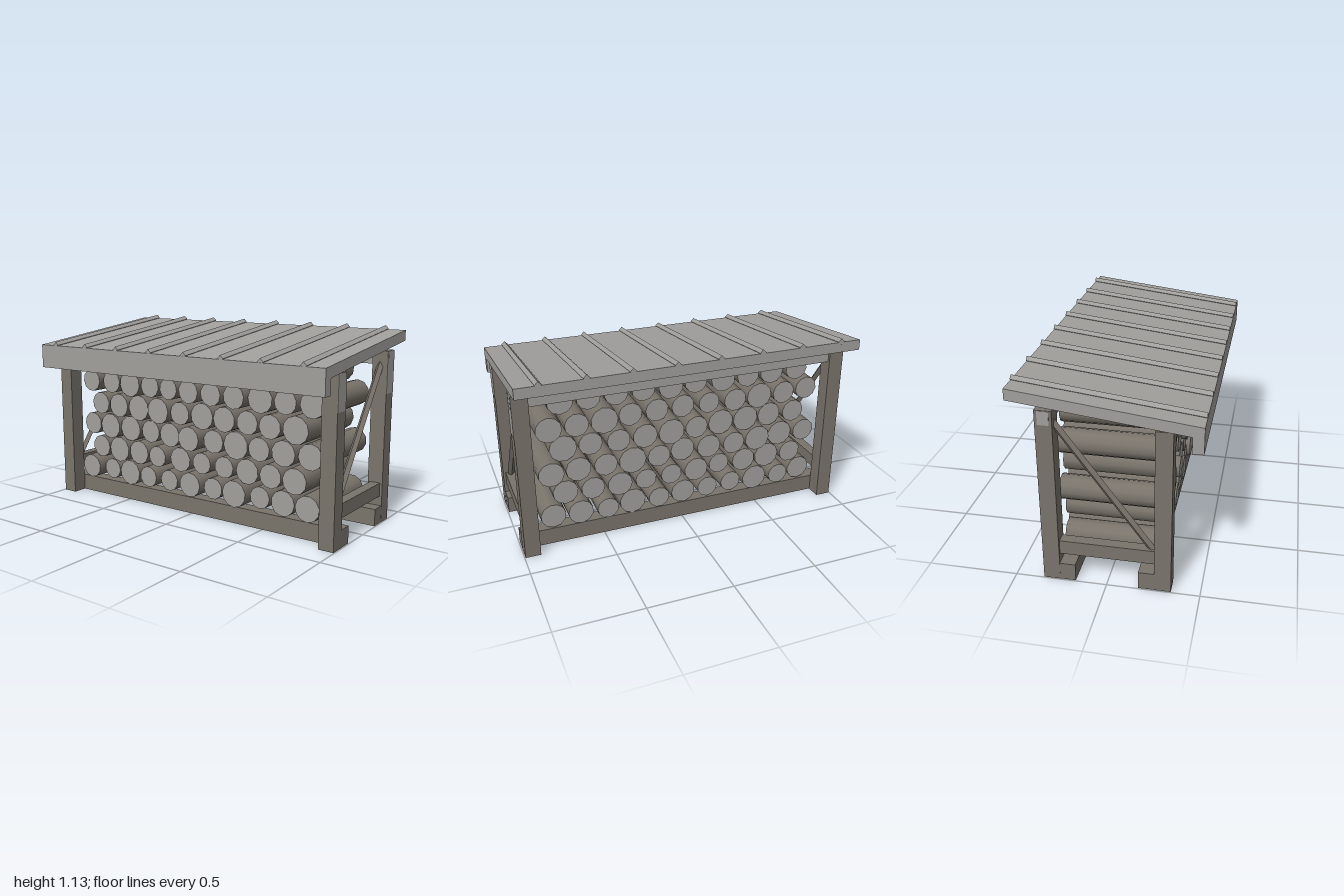
import * as THREE from 'three';

const flat = (name, color) => {
  const m = new THREE.MeshStandardMaterial({ color });
  m.name = name;
  return m;
};

export function createModel() {
  const root = new THREE.Group();
  root.name = 'firewoodShelter';
  const brown = flat('weatheredWood', 0x7a746b);
  const grey = flat('paleGrey', 0xa1a09d);

  const add = (name, geometry, material, parent = root) => {
    const mesh = new THREE.Mesh(geometry, material);
    mesh.name = name;
    parent.add(mesh);
    return mesh;
  };
  // Box given by its minimum and maximum on each axis
  const box = (name, x0, x1, y0, y1, z0, z1, material) =>
    add(name, new THREE.BoxGeometry(x1 - x0, y1 - y0, z1 - z0), material)
      .position.set((x0 + x1) / 2, (y0 + y1) / 2, (z0 + z1) / 2);

  // Corner posts; the upper part of the outer left faces is paler
  for (const s of [-1, 1]) {
    const x0 = s < 0 ? -0.995 : 0.905;
    box('frontPost', x0, x0 + 0.09, 0, 0.94, 0.255, 0.345, brown);
    box('backPost', x0, x0 + 0.09, 0, 1.0, -0.345, -0.255, brown);
  }
  box('frontPostPaleFace', 0.994, 0.997, 0.74, 0.94, 0.255, 0.345, grey);
  box('backPostPaleFace', 0.994, 0.997, 0.757, 1.0, -0.345, -0.255, grey);

  // Floor beams and the top beam at the back
  box('frontFloorBeam', -0.994, 0.994, 0, 0.1, 0.17, 0.255, brown);
  box('backFloorBeam', -0.994, 0.994, 0, 0.1, -0.255, -0.17, brown);
  box('backTopBeam', -0.998, 0.998, 0.922, 0.998, -0.33, -0.27, grey);

  // Side rails and diagonal braces
  const low = new THREE.Vector3(0, 0.2, 0.261);
  const high = new THREE.Vector3(0, 0.936, -0.275);
  const along = high.clone().sub(low);
  for (const s of [-1, 1]) {
    box('sideRail', s * 0.95 - 0.03, s * 0.95 + 0.03, 0.155, 0.235, -0.256, 0.256, brown);
    const geo = new THREE.CylinderGeometry(0.02, 0.02, along.length(), 4).toNonIndexed();
    geo.computeVertexNormals();
    const brace = add('diagonalBrace', geo, brown);
    brace.quaternion.setFromUnitVectors(new THREE.Vector3(0, 1, 0), along.clone().normalize());
    brace.position.copy(low).lerp(high, 0.5).setX(s * 0.95);
  }

  // Sloping roof with its front board, drawn from the side and extruded across
  const roofY = (z) => 1.043 - 0.122 * z;
  const underY = (z) => roofY(z) - 0.061;
  const side = new THREE.Shape([
    [-0.493, roofY(0.493)], [-0.493, 0.84], [-0.435, 0.84], [-0.435, underY(0.435)],
    [0.49, underY(-0.49)], [0.49, roofY(-0.49)],
  ].map(([u, v]) => new THREE.Vector2(u, v)));
  const roofGeo = new THREE.ExtrudeGeometry(side, { depth: 2, bevelEnabled: false });
  roofGeo.translate(0, 0, -1).rotateY(Math.PI / 2);
  add('roof', roofGeo, grey);

  // Brown lining below the roof
  const lining = new THREE.BoxGeometry(1.84, 0.004, 0.63);
  const lp = lining.attributes.position;
  for (let i = 0; i < lp.count; i++) {
    const z = lp.getZ(i) + 0.065;
    lp.setXYZ(i, lp.getX(i), underY(z) + lp.getY(i), z);
  }
  lining.computeVertexNormals();
  add('roofLining', lining, brown);

  // Diamond-section ribs, sheared to follow the roof
  for (let i = 0; i < 8; i++) {
    const rib = new THREE.CylinderGeometry(0.019, 0.019, 0.984, 4).toNonIndexed();
    rib.rotateX(Math.PI / 2);
    const p = rib.attributes.position;
    for (let k = 0; k < p.count; k++) p.setY(k, p.getY(k) + roofY(p.getZ(k)) + 0.004);
    rib.computeVertexNormals();
    add('roofRib', rib, grey).position.x = -0.875 + 0.25 * i;
  }

  // Stacked logs: radii in hundredths, row by row from the bottom
  const rows = [
    [7.5, 6.5, 8, 6.5, 6.5, 7.5, 6.5, 8, 6.5, 7.5, 7.5],
    [7, 8, 7.5, 6.5, 7.5, 6.5, 6.5, 7.5, 7, 7.5],
    [7, 8, 8, 7, 7.5, 7.5, 7, 8.3, 7, 7.5, 7.5],
    [7, 7.5, 8, 8, 7, 8, 7.5, 7, 7, 8],
    [7, 7, 8, 7, 6.5, 7, 7, 7, 8, 7, 7.5],
    [7, 7.5, 7, 7.5, 7, 7.5, 7, 7, 7, 7.5],
  ];
  let seed = 7;
  const random = () => (seed = (seed * 16807) % 2147483647) / 2147483647;
  const logs = new THREE.Group();
  logs.name = 'logStack';
  root.add(logs);
  rows.forEach((radii, r) => radii.forEach((radius, i) => {
    const geo = new THREE.CylinderGeometry(radius / 100, radius / 100, 0.54, 11);
    geo.rotateY(random() * Math.PI).rotateX(Math.PI / 2);
    const log = add('log', geo, [brown, grey, grey], logs);
    log.position.set((i - (radii.length - 1) / 2) * 0.16, 0.183 + 0.141 * r, (random() - 0.5) * 0.04);
  }));

  return root;
}
